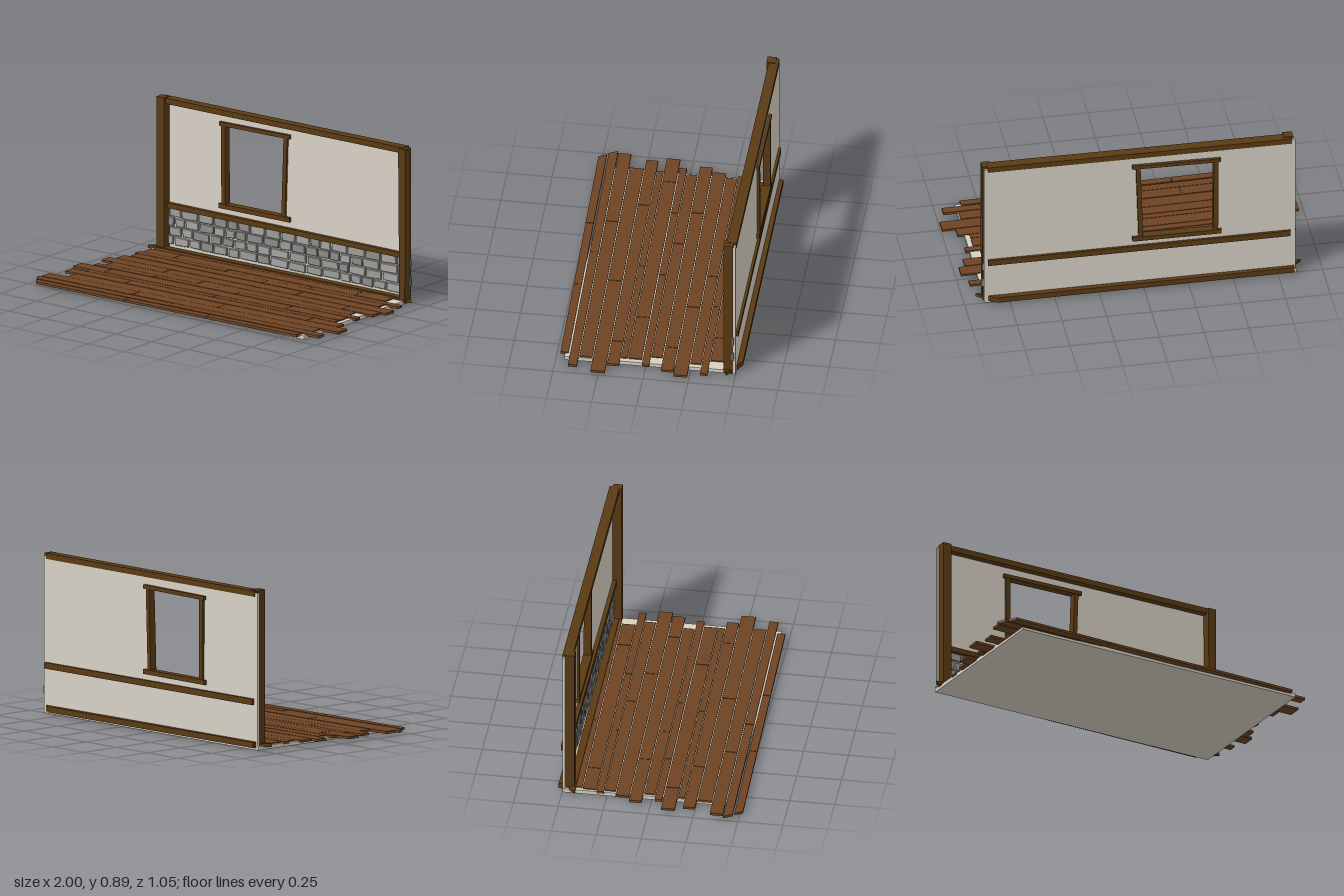
import * as THREE from 'three';

const mat = (color) => new THREE.MeshStandardMaterial({ color, flatShading: true });
const plaster = mat(0xd8d1c5), timber = mat(0x5a3a14), plank = mat(0x6e4423);
const stoneMats = [mat(0x8c8c8a), mat(0x9c9c99), mat(0xa6a5a2)];

let seed = 7;
const rnd = () => (seed = (seed * 16807) % 2147483647) / 2147483647;
const jitter = (a) => (rnd() - 0.5) * 2 * a;

// Box given by its extents, with an optional rule that moves the corners
function block(name, x, y, z, material, bend) {
  const g = new THREE.BoxGeometry(x[1] - x[0], y[1] - y[0], z[1] - z[0]);
  g.translate((x[0] + x[1]) / 2, (y[0] + y[1]) / 2, (z[0] + z[1]) / 2);
  if (bend) {
    const p = g.attributes.position, v = new THREE.Vector3();
    for (let i = 0; i < p.count; i++) {
      v.fromBufferAttribute(p, i);
      bend(v);
      p.setXYZ(i, v.x, v.y, v.z);
    }
    g.computeVertexNormals();
  }
  const m = new THREE.Mesh(g, material);
  m.name = name;
  return m;
}

function buildWall() {
  const s = new THREE.Shape();
  s.moveTo(-0.85, 0.005); s.lineTo(0.89, 0.005); s.lineTo(0.89, 0.875); s.lineTo(-0.85, 0.875);
  const h = new THREE.Path();
  h.moveTo(-0.4, 0.335); h.lineTo(-0.4, 0.805); h.lineTo(0.03, 0.805); h.lineTo(0.015, 0.335);
  s.holes.push(h);
  const g = new THREE.ExtrudeGeometry(s, { depth: 0.014, bevelEnabled: false });
  g.translate(0, 0, -0.499);
  const m = new THREE.Mesh(g, plaster);
  m.name = 'plasterWall';
  return m;
}

// Staggered courses of irregular stones with chamfered faces
function buildStones() {
  const group = new THREE.Group();
  group.name = 'stoneCourses';
  const rows = 4, y0 = 0.045, rowH = 0.053;
  for (let r = 0; r < rows; r++) {
    const end = r % 2 ? 0.908 : 0.87;
    let x = -0.82 + (r % 2) * 0.035;
    while (x < end - 0.03) {
      const w = Math.min(0.07 + rnd() * 0.06, end - x);
      const yb = y0 + r * rowH + 0.004, yt = yb + rowH - 0.008;
      const s = new THREE.Shape([
        [x + 0.006, yb], [x + w - 0.006, yb], [x + w - 0.006, yt], [x + 0.006, yt],
      ].map(([a, b]) => new THREE.Vector2(a + jitter(0.004), b + jitter(0.003))));
      const g = new THREE.ExtrudeGeometry(s, {
        depth: 0.008 + rnd() * 0.004, bevelSize: 0.003, bevelOffset: -0.002,
        bevelThickness: 0.003, bevelSegments: 1,
      });
      g.translate(0, 0, -0.487);
      const m = new THREE.Mesh(g, stoneMats[Math.floor(rnd() * 3)]);
      m.name = 'stone';
      group.add(m);
      x += w;
    }
  }
  return group;
}

// Each row: back edge, front edge, left end, right end, joints
function buildFloor() {
  const group = new THREE.Group();
  group.name = 'floorPlanks';
  const rows = [
    [-0.475, -0.412, -0.83, 0.86, [-0.155]],
    [-0.407, -0.332, -0.84, 0.82, [-0.63, 0.61]],
    [-0.328, -0.288, -0.86, 0.945, [-0.24, 0.33]],
    [-0.284, -0.224, -0.84, 0.86, [0.06]],
    [-0.219, -0.144, -0.88, 0.975, [0.35]],
    [-0.139, -0.07, -0.92, 0.94, [-0.5, 0.73]],
    [-0.065, -0.004, -0.84, 0.83, [-0.21]],
    [0, 0.04, -0.89, 0.91, [-0.48, 0.085]],
    [0.046, 0.121, -0.97, 0.86, [-0.76, 0.48]],
    [0.125, 0.161, -0.85, 0.86, [0.02]],
    [0.165, 0.23, -0.94, 0.925, [-0.53, 0.715]],
    [0.235, 0.314, -0.86, 1, [0.17]],
    [0.319, 0.39, -0.98, 0.88, [-0.36]],
    [0.395, 0.444, -1, 0.965, [-0.07]],
    [0.453, 0.497, -0.96, 0.855, [-0.33, 0.23]],
  ];
  rows.forEach(([za, zb, xl, xr, joints], i) => {
    const ends = [xl, ...joints, xr];
    for (let k = 0; k < ends.length - 1; k++) {
      const top = 0.028 + jitter(0.001);
      group.add(block('plank', [ends[k] + (k ? 0.002 : 0), ends[k + 1] - 0.002], [0.014, top], [za, zb], plank, (v) => {
        // The two front rows have a slanted left end
        if (i > 12 && k === 0 && v.x < xl + 0.01) v.x += (v.z - za) * 0.55;
        v.z -= v.x * 0.023;
      }));
    }
  });
  return group;
}

function buildTimbers() {
  const group = new THREE.Group();
  group.name = 'timberFrame';
  const add = (...a) => group.add(block(...a));
  // Corner posts
  add('leftmostPost', [-0.84, -0.787], [0.015, 0.89], [-0.486, -0.435], timber);
  add('rightmostPost', [0.85, 0.9], [0.01, 0.89], [-0.486, -0.433], timber, (v) => {
    if (v.y < 0.1) v.x += v.x < 0.87 ? 0.008 : -0.004;
  });
  // Top plate and rails
  add('topBeam', [-0.83, 0.87], [0.857, 0.889], [-0.503, -0.447], timber, (v) => { v.y += v.x * 0.004; });
  add('frontMidRail', [-0.8, 0.86], [0.255, 0.284], [-0.487, -0.462], timber);
  add('backMidRail', [-0.82, 0.87], [0.25, 0.284], [-0.513, -0.498], timber);
  // Sills at the foot of the wall, with pointed ends
  add('frontSill', [-0.89, 0.93], [0.016, 0.046], [-0.488, -0.447], timber, (v) => {
    if (v.z < -0.46) v.x *= 0.95;
    if (Math.abs(v.x) > 0.8) v.y -= v.y > 0.03 ? 0.012 : 0;
    v.z += 0.01 - v.x * 0.012;
  });
  add('backSill', [-0.84, 0.87], [0.014, 0.046], [-0.527, -0.497], timber, (v) => {
    if (v.z < -0.51 && v.x > 0) v.x -= 0.05;
    v.z -= v.x * 0.006;
  });
  return group;
}

function buildWindow() {
  const group = new THREE.Group();
  group.name = 'windowFrame';
  const z = [-0.514, -0.472];
  group.add(
    block('windowLeftJamb', [-0.415, -0.388], [0.325, 0.803], z, timber, (v) => { if (v.y > 0.5) v.x -= 0.003; }),
    block('windowRightJamb', [0.003, 0.028], [0.325, 0.803], z, timber, (v) => { if (v.y > 0.5) v.x += 0.016; }),
    block('windowLintel', [-0.43, 0.063], [0.791, 0.813], [-0.516, -0.468], timber, (v) => { v.y += (v.x + 0.18) * 0.014; }),
    block('windowSill', [-0.433, 0.063], [0.317, 0.343], [-0.516, -0.468], timber, (v) => { v.y += (v.x + 0.18) * 0.006; }),
  );
  return group;
}

export function createModel() {
  const model = new THREE.Group();
  model.name = 'roomCorner';
  model.add(
    block('floorSlab', [-0.855, 0.885], [0, 0.022], [-0.499, 0.452], plaster),
    buildWall(), buildStones(), buildFloor(), buildTimbers(), buildWindow(),
  );
  return model;
}
